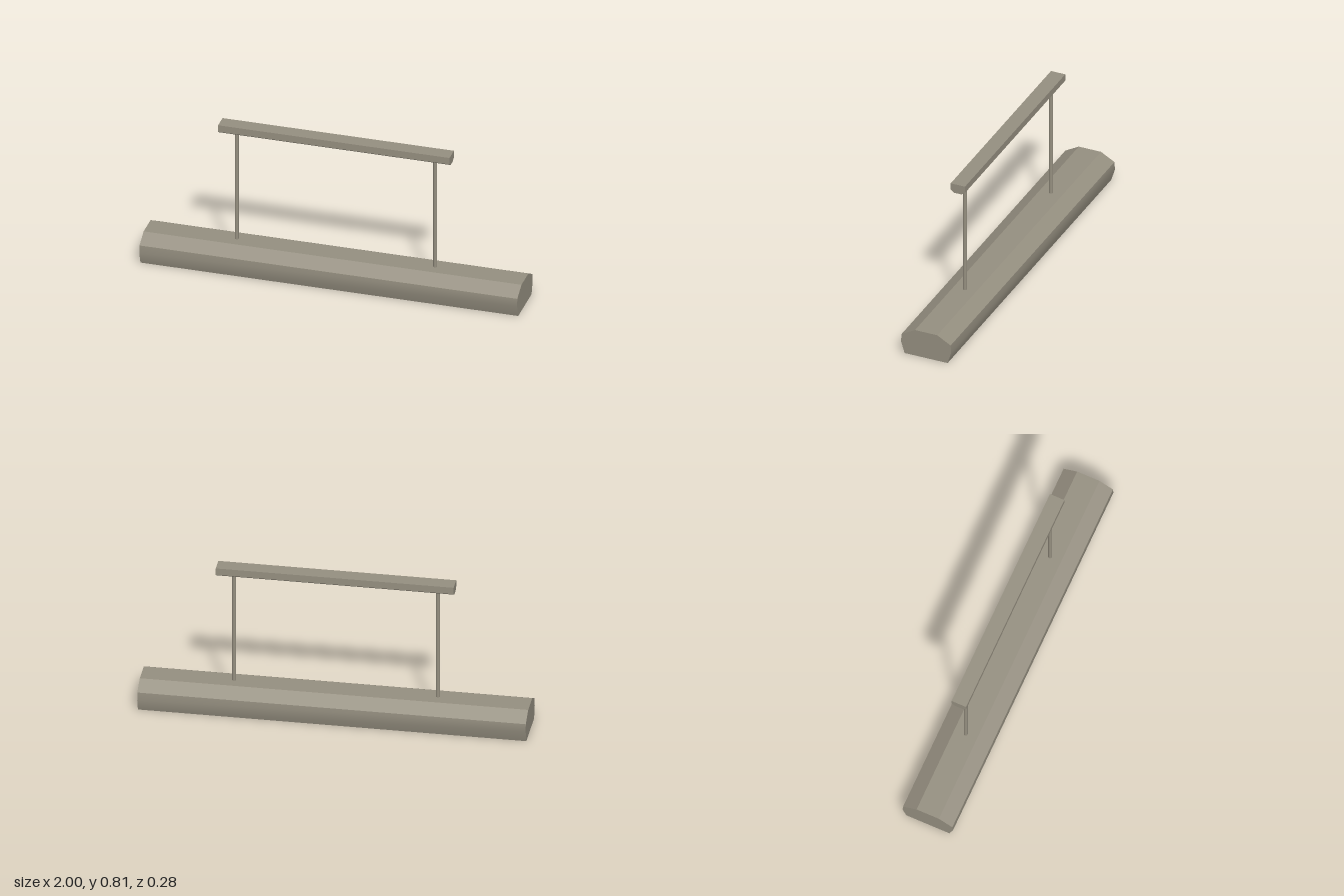
import * as THREE from 'three';
import { toCreasedNormals } from 'three/addons/utils/BufferGeometryUtils.js';

const metal = new THREE.MeshStandardMaterial({ color: 0x958f80 });
const sheet = new THREE.MeshStandardMaterial({ color: 0x958f80, side: THREE.DoubleSide });

// Half profile [z, y] from bottom to top, mirrored into a full outline.
const mirrored = (half) => [...half, ...half.slice().reverse().map(([z, y]) => [-z, y])];

// Closed prism along x, centred on x = 0.
function prism(half, length) {
  const shape = new THREE.Shape(mirrored(half).map(([z, y]) => new THREE.Vector2(z, y)));
  const geo = new THREE.ExtrudeGeometry(shape, { depth: length, bevelEnabled: false });
  return geo.translate(0, 0, -length / 2).rotateY(Math.PI / 2);
}

// Open sheet swept along x through the same kind of profile.
function trough(half, length) {
  const outline = mirrored(half);
  const position = [], index = [];
  outline.forEach(([z, y], i) => {
    position.push(-length / 2, y, z, length / 2, y, z);
    if (i > 0) {
      const a = 2 * (i - 1);
      index.push(a, a + 1, a + 3, a, a + 3, a + 2);
    }
  });
  const geo = new THREE.BufferGeometry();
  geo.setAttribute('position', new THREE.Float32BufferAttribute(position, 3));
  geo.setIndex(index);
  return toCreasedNormals(geo, 0.46);
}

export function createModel() {
  const model = new THREE.Group();
  const add = (name, geo, x = 0, y = 0, z = 0, mat = metal) => {
    const mesh = new THREE.Mesh(geo, mat);
    mesh.name = name;
    mesh.position.set(x, y, z);
    model.add(mesh);
    return mesh;
  };

  // Lamp housing, open underneath
  const housing = [[0.12, 0], [0.14, 0.065], [0.137, 0.108], [0.062, 0.15]];
  add('housing', trough(housing, 2), 0, 0, 0, sheet);
  const capShape = new THREE.Shape(mirrored(housing).map(([z, y]) => new THREE.Vector2(z, y)));
  const capGeo = new THREE.ShapeGeometry(capShape).rotateY(Math.PI / 2);
  for (const side of [-1, 1]) {
    add('endCap', capGeo, side, 0, 0, sheet);
  }

  // Louvre: central spine and cross slats
  add('louvreSpine', new THREE.BoxGeometry(1.94, 0.05, 0.012), 0, 0.035, 0);
  const slatGeo = new THREE.BoxGeometry(0.02, 0.025, 0.2);
  const slats = 27;
  for (let i = 0; i < slats; i++) {
    add('louvreSlat', slatGeo, -0.91 + (1.82 * i) / (slats - 1), 0.03, 0);
  }

  // Suspension rods
  const rodGeo = new THREE.CylinderGeometry(0.01, 0.01, 0.615, 16);
  for (const side of [-1, 1]) {
    add('suspensionRod', rodGeo, side * 0.525, 0.4575, 0);
  }

  // Ceiling rail with chamfered underside
  add('ceilingRail', prism([[0.02, 0.762], [0.04, 0.776], [0.04, 0.813]], 1.225));

  return model;
}
